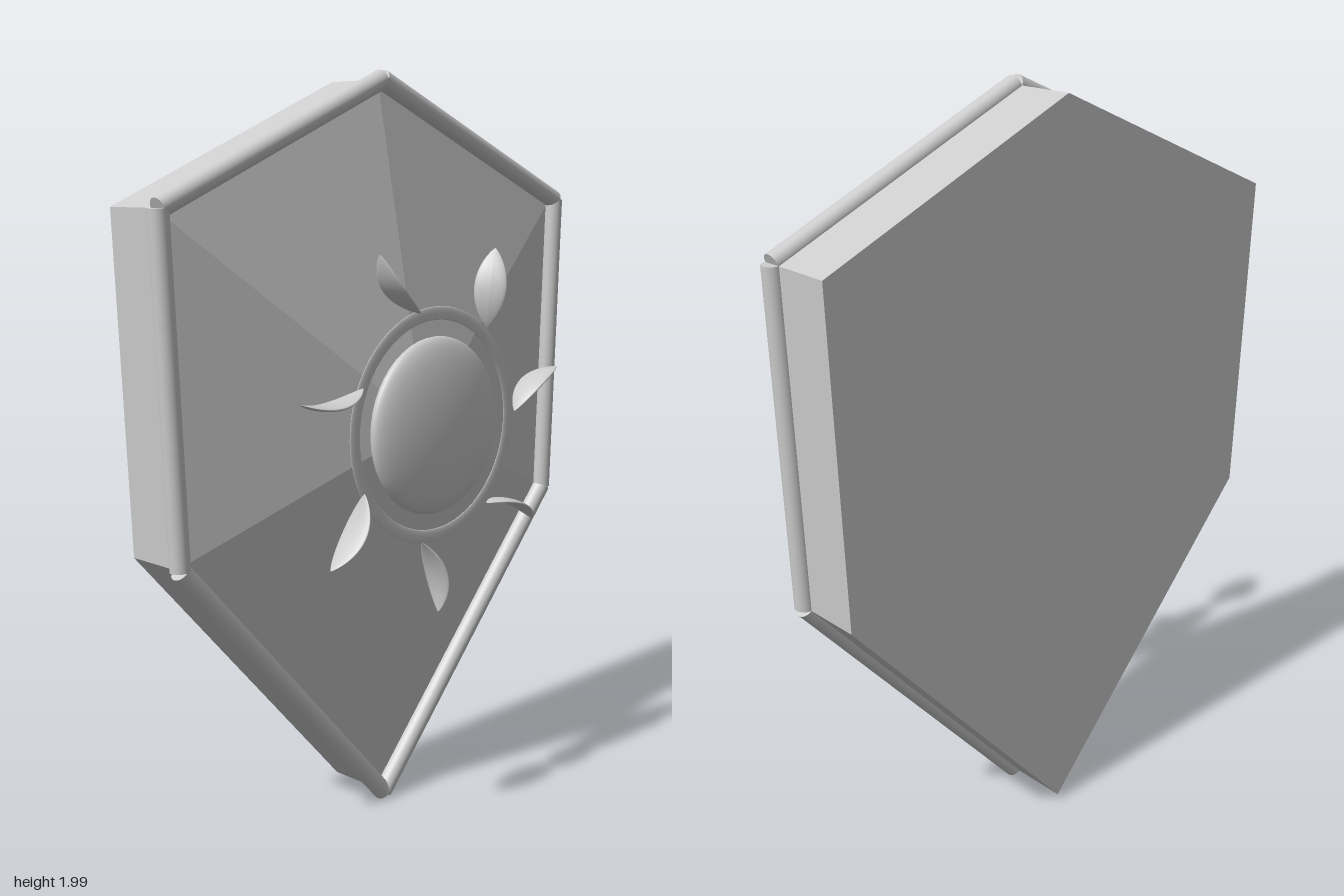
import * as THREE from 'three';

const CENTER_Y = 1.093;
const OUTLINE = [
  [0, 1.975], [-0.725, 1.66], [-0.69, 0.8],
  [0, 0.025], [0.69, 0.8], [0.725, 1.66],
]; // counter-clockwise seen from the front

const smooth = () => new THREE.MeshStandardMaterial({ color: 0xcccccc });
const faceted = () => new THREE.MeshStandardMaterial({ color: 0xcccccc, flatShading: true });

function addMesh(parent, name, geometry, material) {
  const mesh = new THREE.Mesh(geometry, material);
  mesh.name = name;
  parent.add(mesh);
  return mesh;
}

// Six-sided slab with a low faceted peak on its front and a flat back
function bodyGeometry() {
  const front = OUTLINE.map(([x, y]) => [x, y, -0.05]);
  const back = OUTLINE.map(([x, y]) => [x, y, -0.22]);
  const peak = [0, 1.09, 0.12];
  const backCenter = [0, 1.09, -0.22];
  const points = [];
  for (let i = 0; i < 6; i++) {
    const j = (i + 1) % 6;
    points.push(front[i], front[j], peak);
    points.push(front[i], back[i], back[j], front[i], back[j], front[j]);
    points.push(back[j], back[i], backCenter);
  }
  const geometry = new THREE.BufferGeometry();
  geometry.setAttribute('position', new THREE.Float32BufferAttribute(points.flat(), 3));
  geometry.computeVertexNormals();
  return geometry;
}

// Thin pointed leaf from (0,0,0) to (length,0,0), broad in z, bowed towards +y
function rayGeometry(length) {
  const geometry = new THREE.SphereGeometry(1, 20, 24);
  geometry.rotateZ(-Math.PI / 2);
  const p = geometry.attributes.position;
  for (let i = 0; i < p.count; i++) {
    const u = p.getX(i);
    const taper = Math.pow(Math.max(0, 1 - u * u), 0.35);
    const bow = 0.026 * (1 - u * u);
    p.setXYZ(i, (u + 1) * length / 2, p.getY(i) * 0.008 * taper + bow, p.getZ(i) * 0.043 * taper);
  }
  geometry.computeVertexNormals();
  return geometry;
}

export function createModel() {
  const model = new THREE.Group();
  model.name = 'shield';
  addMesh(model, 'body', bodyGeometry(), faceted());

  // Round rods along every edge
  const rim = new THREE.Group();
  rim.name = 'rim';
  model.add(rim);
  OUTLINE.forEach(([x, y], i) => {
    const [nx, ny] = OUTLINE[(i + 1) % 6];
    const length = Math.hypot(nx - x, ny - y);
    const rod = addMesh(rim, 'rimRod', new THREE.CylinderGeometry(0.026, 0.026, length, 24), smooth());
    rod.position.set((x + nx) / 2, (y + ny) / 2, -0.035);
    rod.rotation.z = Math.atan2(ny - y, nx - x) - Math.PI / 2;
  });

  // Sun emblem: domed boss, flat ring and seven curved rays
  const emblem = new THREE.Group();
  emblem.name = 'sunEmblem';
  emblem.position.set(0, CENTER_Y, 0.158);
  model.add(emblem);
  const dome = new THREE.SphereGeometry(0.233, 48, 32);
  dome.rotateX(Math.PI / 2);
  dome.scale(1, 1, 0.22);
  addMesh(emblem, 'boss', dome, smooth());
  const ring = new THREE.TorusGeometry(0.2925, 0.0175, 16, 64);
  ring.scale(1, 1, 0.15);
  addMesh(emblem, 'ring', ring, smooth());

  const step = Math.PI * 2 / 7;
  for (let i = 0; i < 7; i++) {
    const tip = -Math.PI / 2 + i * step;
    const root = tip - 0.21;
    const from = new THREE.Vector2(Math.cos(root), Math.sin(root)).multiplyScalar(0.305);
    const to = new THREE.Vector2(Math.cos(tip), Math.sin(tip)).multiplyScalar(0.5);
    const pivot = new THREE.Group();
    pivot.name = 'ray';
    pivot.position.set(from.x, from.y, 0.014);
    pivot.rotation.z = Math.atan2(to.y - from.y, to.x - from.x);
    emblem.add(pivot);
    const leaf = addMesh(pivot, 'rayLeaf', rayGeometry(from.distanceTo(to)), smooth());
    // One upper ray is twisted about its length
    if (i === 3) leaf.rotation.x = 0.6;
  }
  return model;
}
